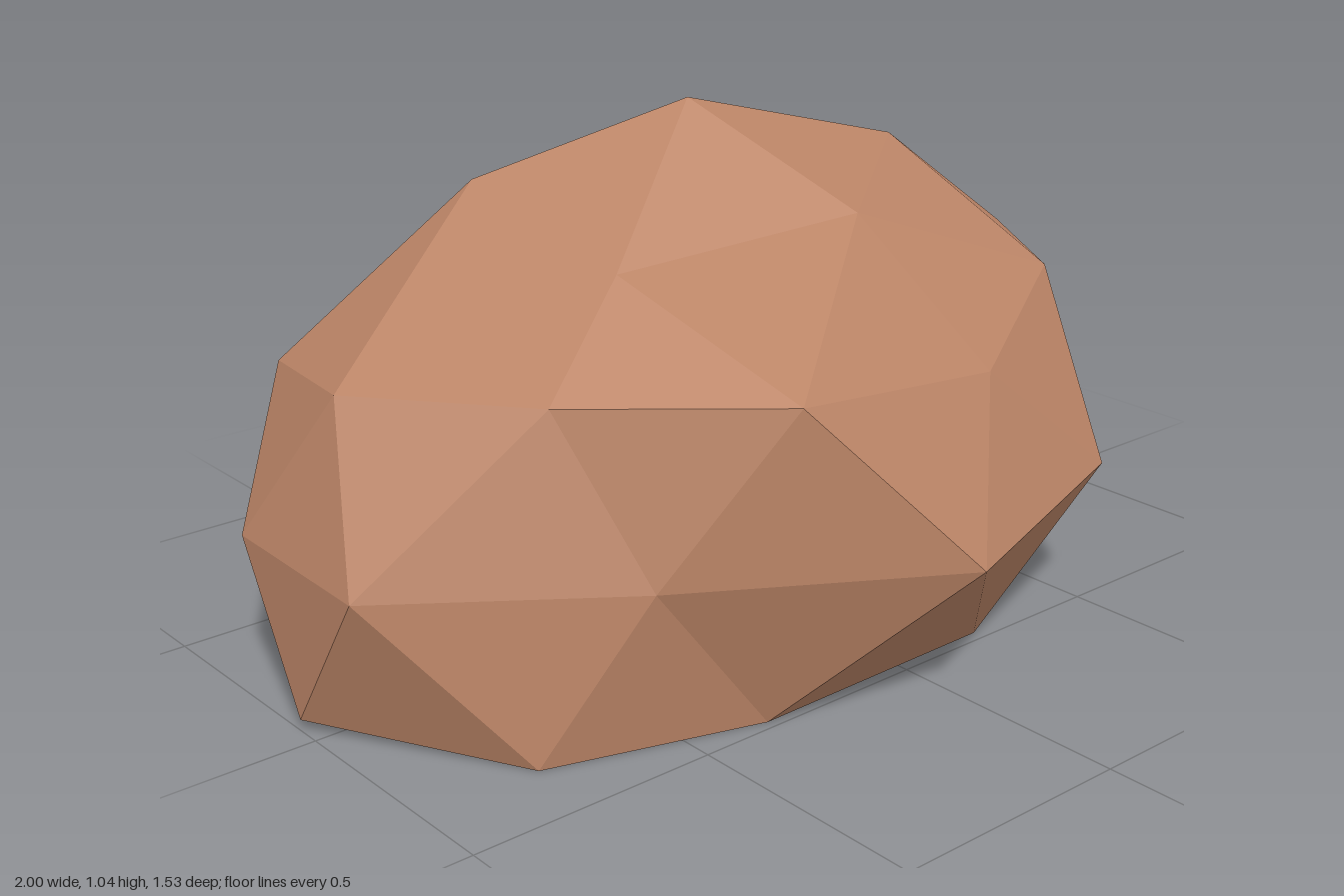
import * as THREE from 'three';

// Faceted boulder: rings of corners run around y, from +x towards +z.
const crown = [-0.08, 1.04, -0.05];
const shoulder = [[0.47, 0.89, -0.05], [0.09, 0.84, 0.25], [-0.43, 0.8, 0.17], [-0.45, 0.9, -0.25], [0.08, 0.87, -0.36]];
const upper = [
  [0.82, 0.64, -0.05], [0.57, 0.66, 0.31], [0.16, 0.58, 0.54], [-0.37, 0.65, 0.6], [-0.68, 0.64, 0.3],
  [-0.89, 0.62, -0.05], [-0.81, 0.58, -0.39], [-0.33, 0.65, -0.645], [0.16, 0.63, -0.745], [0.6, 0.7, -0.37],
];
// Widest ring, level, half a step round from the others (x, z)
const girdle = [
  [0.76, 0.15], [0.48, 0.56], [-0.08, 0.765], [-0.58, 0.46], [-1, 0.15],
  [-0.99, -0.24], [-0.7, -0.68], [-0.08, -0.77], [0.55, -0.62], [1, -0.27],
].map(([x, z]) => [x, 0.32, z]);
const foot = [
  [0.69, 0, -0.05], [0.54, 0.037, 0.34], [0.215, 0, 0.475], [-0.34, 0, 0.48], [-0.76, 0, 0.35],
  [-1, 0.022, -0.05], [-0.76, 0, -0.42], [-0.325, 0, -0.67], [0.22, 0, -0.615], [0.53, 0.022, -0.36],
];
const baseCentre = [-0.08, 0, -0.05];

export function createModel() {
  const positions = [];
  const tri = (a, b, c) => positions.push(...a, ...b, ...c);

  // Closes a ten-corner ring with a five-corner inner ring and a centre point
  const cap = (centre, inner, outer, shift, flip) => {
    const face = (a, b, c) => (flip ? tri(a, c, b) : tri(a, b, c));
    for (let k = 0; k < 5; k++) {
      const u = inner[k], next = inner[(k + 1) % 5];
      const at = (i) => outer[(2 * k + shift + i + 10) % 10];
      face(centre, next, u);
      face(u, at(1), at(0));
      face(u, at(0), at(-1));
      face(u, next, at(1));
    }
  };

  // Top and nearly flat underside
  cap(crown, shoulder, upper, 0, false);
  const underside = foot.filter((_, j) => j % 2).map(([x, , z]) => [
    THREE.MathUtils.lerp(baseCentre[0], x, 0.6), 0, THREE.MathUtils.lerp(baseCentre[2], z, 0.6),
  ]);
  cap(baseCentre, underside, foot, 1, true);

  // Two bands of triangles around the sides
  for (let j = 0; j < 10; j++) {
    const n = (j + 1) % 10, p = (j + 9) % 10;
    tri(upper[n], girdle[j], upper[j]);
    tri(upper[j], girdle[j], girdle[p]);
    tri(girdle[j], foot[n], foot[j]);
    tri(girdle[j], foot[j], girdle[p]);
  }

  const geometry = new THREE.BufferGeometry();
  geometry.setAttribute('position', new THREE.Float32BufferAttribute(positions, 3));
  geometry.computeVertexNormals(); // unshared corners give flat facets

  const stone = new THREE.MeshStandardMaterial({ color: 0xbc8567 });
  stone.name = 'brown stone';
  const rock = new THREE.Mesh(geometry, stone);
  rock.name = 'rock';

  const group = new THREE.Group();
  group.name = 'boulder';
  group.add(rock);
  return group;
}
